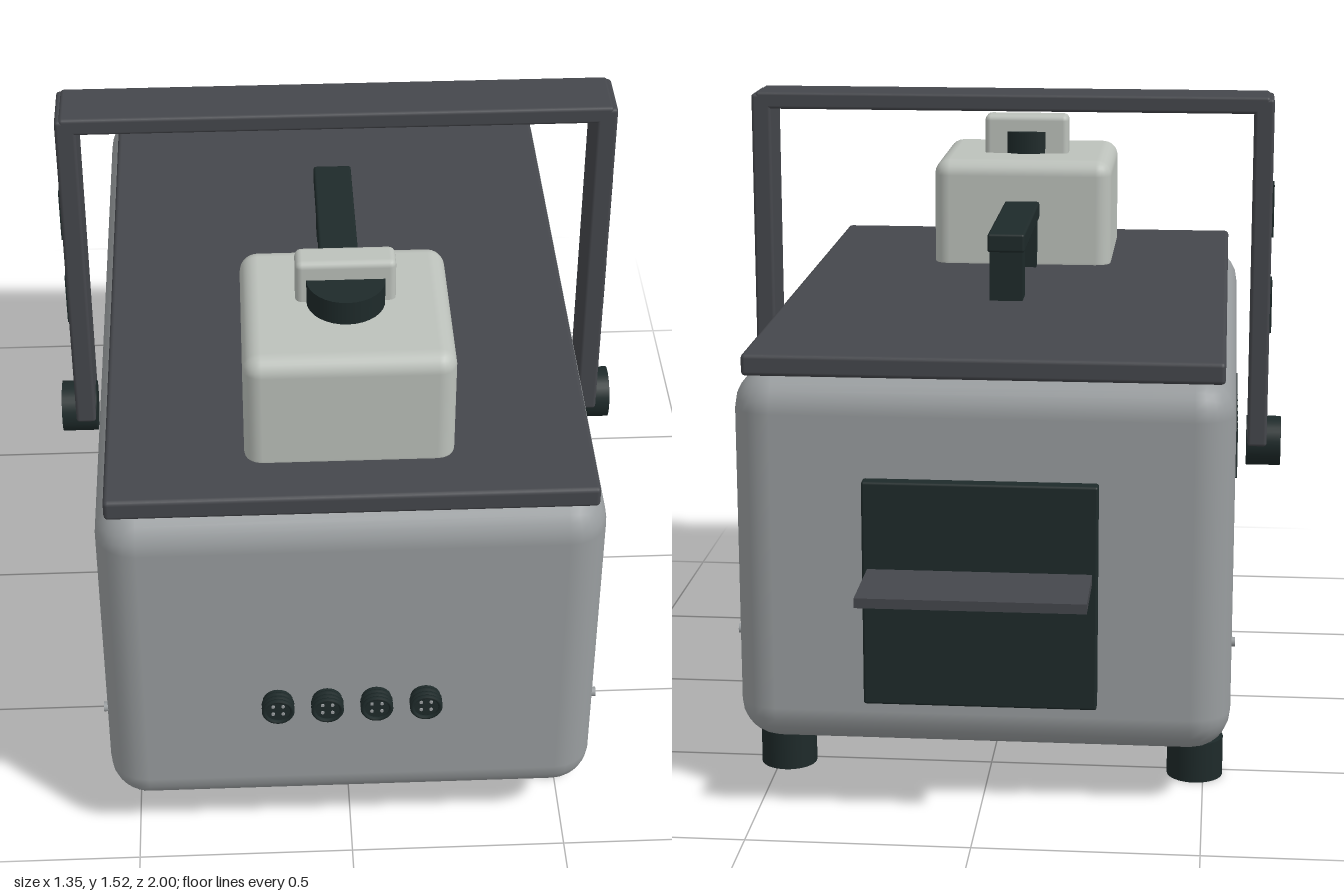
import * as THREE from 'three';
import { RoundedBoxGeometry } from 'three/addons/geometries/RoundedBoxGeometry.js';

const colour = (name, hex) => {
  const m = new THREE.MeshStandardMaterial({ color: hex });
  m.name = name;
  return m;
};

export function createModel() {
  const shell = colour('shell grey', 0x999d9f);
  const charcoal = colour('charcoal', 0x45474c);
  const pale = colour('pale housing', 0xbcc1bb);
  const dark = colour('dark rubber', 0x1e2a2a);
  const model = new THREE.Group();
  model.name = 'portableUnit';

  const add = (name, geometry, material, x, y, z, parent = model) => {
    const mesh = new THREE.Mesh(geometry, material);
    mesh.name = name;
    mesh.position.set(x, y, z);
    parent.add(mesh);
    return mesh;
  };
  // Box from its extents, with optional rounded edges
  const box = (name, material, [x0, x1], [y0, y1], [z0, z1], radius = 0, segments = 2) => {
    const size = [x1 - x0, y1 - y0, z1 - z0];
    const geometry = radius
      ? new RoundedBoxGeometry(...size, segments, radius)
      : new THREE.BoxGeometry(...size);
    return add(name, geometry, material, (x0 + x1) / 2, (y0 + y1) / 2, (z0 + z1) / 2);
  };
  const cylinder = (r, h, sides = 32) => new THREE.CylinderGeometry(r, r, h, sides);

  // Main case and lid
  box('body', shell, [-0.56, 0.56], [0.127, 0.995], [-0.76, 0.96], 0.09, 3);
  box('lid', charcoal, [-0.535, 0.535], [0.985, 1.035], [-0.735, 0.93], 0.01);

  // Feet
  for (const x of [-0.48, 0.48]) {
    for (const z of [-0.522, 0.725]) {
      add('foot', cylinder(0.065, 0.094), dark, x, 0.047, z);
    }
  }

  // Small carry grip on the lid
  box('gripBar', dark, [-0.045, 0.045], [1.155, 1.2], [-0.11, 0.385], 0.006);
  box('gripRearPost', dark, [-0.04, 0.04], [1.03, 1.16], [-0.102, -0.024]);
  box('gripFrontPost', dark, [-0.04, 0.04], [1.03, 1.16], [0.335, 0.4]);

  // Pale housing with its dial and raised tab
  box('housing', pale, [-0.23, 0.23], [1.0, 1.305], [0.375, 0.81], 0.04, 3);
  add('dial', cylinder(0.086, 0.07), dark, 0, 1.327, 0.59);
  box('tab', pale, [-0.11, 0.11], [1.29, 1.405], [0.52, 0.59], 0.015);

  // Swing handle
  box('handleCrossbar', charcoal, [-0.63, 0.63], [1.478, 1.52], [0.03, 0.17], 0.008);
  for (const s of [-1, 1]) {
    const span = (a, b) => (s > 0 ? [a, b] : [-b, -a]);
    box('handleArm', charcoal, span(0.592, 0.64), [0.647, 1.515], [0.03, 0.17], 0.008);
    for (const y of [0.93, 1.17]) {
      box('armSlot', dark, span(0.637, 0.645), [y, y + 0.13], [0.067, 0.135]);
    }
    const pivot = add('handlePivot', cylinder(0.062, 0.085), dark, s * 0.6325, 0.647, 0.1);
    pivot.rotation.z = Math.PI / 2;

    // Slanted vents, leaning opposite ways on the two sides
    for (let i = 0; i < 12; i++) {
      const vent = add('ventSlit', new THREE.BoxGeometry(0.02, 0.105, 0.021), dark,
        s * 0.557, 0.678, 0.468 - i * 0.0588);
      vent.rotation.x = -s * 0.28;
    }

    // Case screws
    for (const z of [-0.65, 0.87]) {
      const screw = add('screw', cylinder(0.011, 0.016, 16), shell, s * 0.56, 0.37, z);
      screw.rotation.z = Math.PI / 2;
    }
  }

  // Front sockets: ribbed barrel, raised rim and four pins
  for (let i = 0; i < 4; i++) {
    const socket = new THREE.Group();
    socket.name = 'socket';
    socket.position.set(-0.169 + i * 0.1113, 0.462, 0.96);
    model.add(socket);
    const barrel = add('socketBarrel', cylinder(0.034, 0.05, 24), dark, 0, 0, 0.005, socket);
    barrel.rotation.x = Math.PI / 2;
    for (const z of [0.012, 0.024, 0.035]) {
      add('socketRib', new THREE.TorusGeometry(0.032, 0.005, 6, 24), dark, 0, 0, z, socket);
    }
    for (let k = 0; k < 4; k++) {
      const a = k * Math.PI / 2 + Math.PI / 4;
      const pin = add('socketPin', cylinder(0.004, 0.006, 10), shell,
        0.016 * Math.cos(a), 0.016 * Math.sin(a), 0.03, socket);
      pin.rotation.x = Math.PI / 2;
    }
  }

  // Rear panel and shelf
  box('rearPanel', dark, [-0.262, 0.262], [0.247, 0.765], [-0.792, -0.75], 0.006);
  box('rearShelf', charcoal, [-0.25, 0.25], [0.543, 0.565], [-1, -0.78]);

  return model;
}
